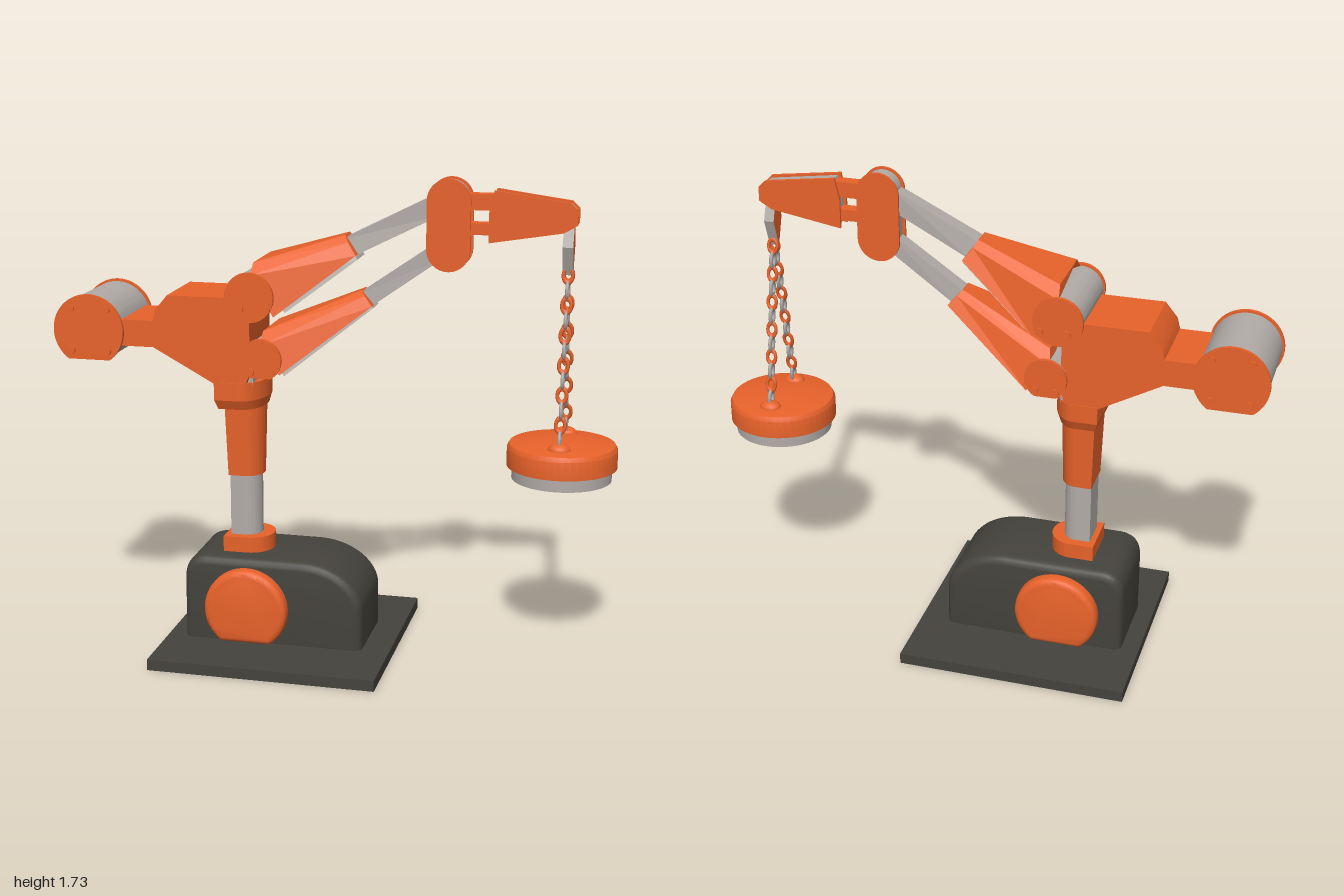
import * as THREE from 'three';
import { toCreasedNormals } from 'three/addons/utils/BufferGeometryUtils.js';

const paint = (color) => new THREE.MeshStandardMaterial({ color });
const ORANGE = paint(0xe8622a), GREY = paint(0xb2aca8), DARK = paint(0x45433c);

function add(parent, name, geometry, material) {
  const mesh = new THREE.Mesh(geometry, material);
  mesh.name = name;
  parent.add(mesh);
  return mesh;
}

const outline = (points) => new THREE.Shape(points.map(([x, y]) => new THREE.Vector2(x, y)));

// Disc outline cut flat at a distance below its centre
function flatDisc(cx, cy, r, cut = r) {
  const a = Math.asin(-Math.min(cut / r, 0.9999));
  return new THREE.Shape().absarc(cx, cy, r, a, Math.PI - a, false);
}

// Extrude a front outline between two depths
function slab(shape, z0, z1, bevel = 0) {
  const g = new THREE.ExtrudeGeometry(shape, {
    depth: z1 - z0 - 2 * bevel, curveSegments: 32, bevelEnabled: bevel > 0,
    bevelSize: bevel, bevelThickness: bevel, bevelOffset: -bevel, bevelSegments: 4,
  });
  g.translate(0, 0, z0 + bevel);
  return toCreasedNormals(g, 0.6);
}

// Upright column, flat at the back and round toward +x, with a scaled lower end
function column(x0, x1, hz, y0, y1, lower = 1) {
  const rx = Math.min(hz, (x1 - x0) / 2), cx = (x0 + x1) / 2;
  const s = new THREE.Shape().moveTo(x0, -hz).lineTo(x1 - rx, -hz);
  s.absellipse(x1 - rx, 0, rx, hz, -Math.PI / 2, Math.PI / 2, false, 0);
  s.lineTo(x0, hz);
  const g = new THREE.ExtrudeGeometry(s, { depth: y1 - y0, bevelEnabled: false, curveSegments: 24 });
  g.rotateX(-Math.PI / 2);
  const p = g.attributes.position;
  for (let i = 0; i < p.count; i++) {
    const k = p.getY(i) < 1e-5 ? lower : 1;
    p.setXYZ(i, cx + (p.getX(i) - cx) * k, p.getY(i) + y0, p.getZ(i) * k);
  }
  return toCreasedNormals(g, 0.6);
}

// Faceted beam between two half cross-sections (top to bottom), mirrored in z
function beam(a, b) {
  const ring = (h) => [...h, ...h.map(([x, y, z]) => [x, y, -z]).reverse()];
  const A = ring(a), B = ring(b), n = A.length, out = [];
  const tri = (...v) => v.forEach((p) => out.push(...p));
  for (let i = 0; i < n; i++) {
    const j = (i + 1) % n;
    tri(A[i], A[j], B[j]);
    tri(A[i], B[j], B[i]);
    if (i > 0 && j > 0) {
      tri(A[0], A[j], A[i]);
      tri(B[0], B[i], B[j]);
    }
  }
  const g = new THREE.BufferGeometry();
  g.setAttribute('position', new THREE.Float32BufferAttribute(out, 3));
  g.computeVertexNormals();
  return g;
}

// Bolt heads on both sides
function bolts(parent, spots, z) {
  for (const [x, y] of spots) for (const s of [-1, 1]) {
    const g = new THREE.CylinderGeometry(0.014, 0.014, 0.016, 12).rotateX(Math.PI / 2);
    add(parent, 'bolt', g, ORANGE).position.set(x, y, s * z);
  }
}

// Thin matching plates on both sides
function cheeks(parent, name, shape, z0, z1) {
  add(parent, name, slab(shape, z0, z1), ORANGE);
  add(parent, name, slab(shape, -z1, -z0), ORANGE);
}

function createBase() {
  const base = new THREE.Group();
  base.name = 'base';
  add(base, 'basePlate', new THREE.BoxGeometry(0.825, 0.04, 0.82), DARK).position.set(-0.187, 0.02, 0);
  const s = new THREE.Shape().moveTo(-0.535, 0.015).lineTo(0.125, 0.015).lineTo(0.125, 0.19);
  s.bezierCurveTo(0.125, 0.28, 0.02, 0.355, -0.1, 0.355).lineTo(-0.45, 0.355);
  s.quadraticCurveTo(-0.535, 0.355, -0.535, 0.26);
  add(base, 'motorHousing', slab(s, -0.165, 0.165, 0.03), DARK);
  for (const side of [-1, 1]) {
    const [z0, z1] = side > 0 ? [0.13, 0.21] : [-0.21, -0.13];
    add(base, 'sideCap', slab(flatDisc(-0.297, 0.17, 0.153, 0.122), z0, z1, 0.022), ORANGE);
  }
  // Column
  add(base, 'columnFoot', column(-0.405, -0.235, 0.09, 0.35, 0.412), ORANGE);
  add(base, 'column', column(-0.385, -0.28, 0.056, 0.4, 0.66), GREY);
  add(base, 'columnSleeve', column(-0.396, -0.262, 0.08, 0.64, 0.91, 0.88), ORANGE);
  add(base, 'collarTaper', column(-0.417, -0.247, 0.137, 0.9, 0.935, 0.88), ORANGE);
  add(base, 'collar', column(-0.417, -0.247, 0.137, 0.935, 1.0), ORANGE);
  add(base, 'turntable', new THREE.BoxGeometry(0.1, 0.08, 0.22), GREY).position.set(-0.33, 1.03, 0);
  return base;
}

function createBody() {
  const body = new THREE.Group();
  body.name = 'body';
  add(body, 'shoulderBody', slab(outline([
    [-0.77, 1.115], [-0.64, 1.115], [-0.41, 0.99], [-0.3, 1.0], [-0.285, 1.04], [-0.285, 1.305],
    [-0.585, 1.305], [-0.63, 1.25], [-0.64, 1.21], [-0.77, 1.21],
  ]), -0.133, 0.133), ORANGE);
  // Counterweight
  add(body, 'counterweight', slab(flatDisc(-0.872, 1.17, 0.122, 0.098), -0.152, 0.152), GREY);
  cheeks(body, 'counterweightPlate', flatDisc(-0.872, 1.17, 0.13, 0.105), 0.15, 0.163);
  bolts(body, [[-0.936, 1.248], [-0.802, 1.248], [-0.936, 1.098], [-0.802, 1.098]], 0.163);
  return body;
}

function createArm() {
  const arm = new THREE.Group();
  arm.name = 'arm';
  // Upper boom
  add(arm, 'upperPivot', slab(flatDisc(-0.28, 1.315, 0.08), -0.155, 0.155), GREY);
  cheeks(arm, 'upperPivotPlate', flatDisc(-0.278, 1.315, 0.088), 0.152, 0.166);
  bolts(arm, [[-0.31, 1.275], [-0.214, 1.275]], 0.166);
  add(arm, 'upperShell', beam(
    [[-0.272, 1.432, 0.115], [-0.277, 1.39, 0.152], [-0.19, 1.25, 0.163]],
    [[0.037, 1.527, 0.037], [0.05, 1.505, 0.06], [0.083, 1.462, 0.08]]), ORANGE);
  add(arm, 'upperShellCore', beam(
    [[-0.25, 1.34, 0.12], [-0.155, 1.262, 0.135]],
    [[0.05, 1.5, 0.035], [0.085, 1.445, 0.06]]), GREY);
  add(arm, 'upperRod', beam(
    [[0.02, 1.508, 0.034], [0.06, 1.45, 0.042]],
    [[0.36, 1.68, 0.026], [0.37, 1.605, 0.026]]), GREY);
  // Lower boom
  add(arm, 'lowerPivot', slab(flatDisc(-0.24, 1.09, 0.068, 0.06), -0.155, 0.155), GREY);
  cheeks(arm, 'lowerPivotPlate', flatDisc(-0.238, 1.095, 0.075, 0.065), 0.152, 0.166);
  bolts(arm, [[-0.273, 1.052], [-0.2, 1.052]], 0.166);
  add(arm, 'lowerShell', beam(
    [[-0.24, 1.19, 0.11], [-0.25, 1.14, 0.15], [-0.17, 1.045, 0.163]],
    [[0.096, 1.334, 0.032], [0.11, 1.318, 0.055], [0.139, 1.285, 0.07]]), ORANGE);
  add(arm, 'lowerShellCore', beam(
    [[-0.23, 1.12, 0.12], [-0.16, 1.036, 0.135]],
    [[0.1, 1.32, 0.03], [0.138, 1.274, 0.05]]), GREY);
  add(arm, 'lowerRod', beam(
    [[0.08, 1.318, 0.03], [0.12, 1.272, 0.034]],
    [[0.37, 1.52, 0.026], [0.385, 1.46, 0.026]]), GREY);
  return arm;
}

function capsule(cx, y0, y1, r) {
  const s = new THREE.Shape().absarc(cx, y1 - r, r, 0, Math.PI, false);
  return s.absarc(cx, y0 + r, r, Math.PI, Math.PI * 2, false);
}

function createForearm() {
  const fore = new THREE.Group();
  fore.name = 'forearm';
  fore.position.z = -0.006;
  add(fore, 'elbowCore', slab(capsule(0.396, 1.42, 1.722, 0.066), -0.03, 0.03), GREY);
  cheeks(fore, 'elbowPlate', capsule(0.396, 1.41, 1.73, 0.076), 0.029, 0.038);
  for (const [y, h] of [[1.652, 0.055], [1.56, 0.04]])
    add(fore, 'connector', new THREE.BoxGeometry(0.14, h, 0.048), ORANGE).position.set(0.49, y, 0);
  // Head with a grey channel between two cheeks
  const head = (d) => outline([
    [0.535 + d, 1.515 + d], [0.79, 1.558 + d], [0.835 - d, 1.585], [0.835 - d, 1.635],
    [0.81, 1.66 - d], [0.552 + d, 1.695 - d], [0.535 + d, 1.62],
  ]);
  add(fore, 'headCore', slab(head(0.009), -0.027, 0.027), GREY);
  cheeks(fore, 'headCheek', head(0), 0.026, 0.037);
  // Diamond hanger
  const g = new THREE.ExtrudeGeometry(outline([[0, 1.41], [0.036, 1.51], [0, 1.6], [-0.036, 1.51]]),
    { depth: 0.036, bevelEnabled: false });
  g.rotateY(Math.PI / 2).translate(0.786, 0, 0);
  add(fore, 'hanger', g, [ORANGE, GREY]);
  return fore;
}

function createMagnet() {
  const magnet = new THREE.Group();
  magnet.name = 'magnet';
  magnet.position.set(0.805, 0, -0.01);
  const profile = [[0, 0.735], [0.193, 0.735], [0.193, 0.8], [0.185, 0.815], [0.16, 0.82], [0.06, 0.83], [0, 0.832]];
  const shell = new THREE.LatheGeometry(profile.map(([x, y]) => new THREE.Vector2(x, y)), 48);
  add(magnet, 'magnetShell', toCreasedNormals(shell, 0.5), ORANGE);
  add(magnet, 'magnetCore', new THREE.CylinderGeometry(0.175, 0.175, 0.05, 48), GREY).position.y = 0.714;
  // Two chains of alternating links, each ending on a lug
  const up = new THREE.Vector3(0, 1, 0), count = 12;
  const link = new THREE.TorusGeometry(0.016, 0.0065, 6, 16).scale(1, 1.5, 1);
  for (const side of [-1, 1]) {
    const lug = new THREE.SphereGeometry(0.04, 16, 8, 0, Math.PI * 2, 0, Math.PI / 2).scale(1, 0.65, 0.8);
    add(magnet, 'lug', lug, ORANGE).position.set(0, 0.82, side * 0.115);
    const low = new THREE.Vector3(0, 0.855, side * 0.105), high = new THREE.Vector3(0, 1.41, side * 0.008);
    const lean = new THREE.Quaternion().setFromUnitVectors(up, high.clone().sub(low).normalize());
    for (let i = 0; i < count; i++) {
      const m = add(magnet, 'chainLink', link, i % 2 ? ORANGE : GREY);
      m.position.lerpVectors(low, high, i / (count - 1));
      m.quaternion.copy(lean);
      if (i % 2 === 0) m.rotateY(Math.PI / 2);
    }
  }
  return magnet;
}

export function createModel() {
  const model = new THREE.Group();
  model.name = 'magnetCrane';
  model.add(createBase(), createBody(), createArm(), createForearm(), createMagnet());
  return model;
}
